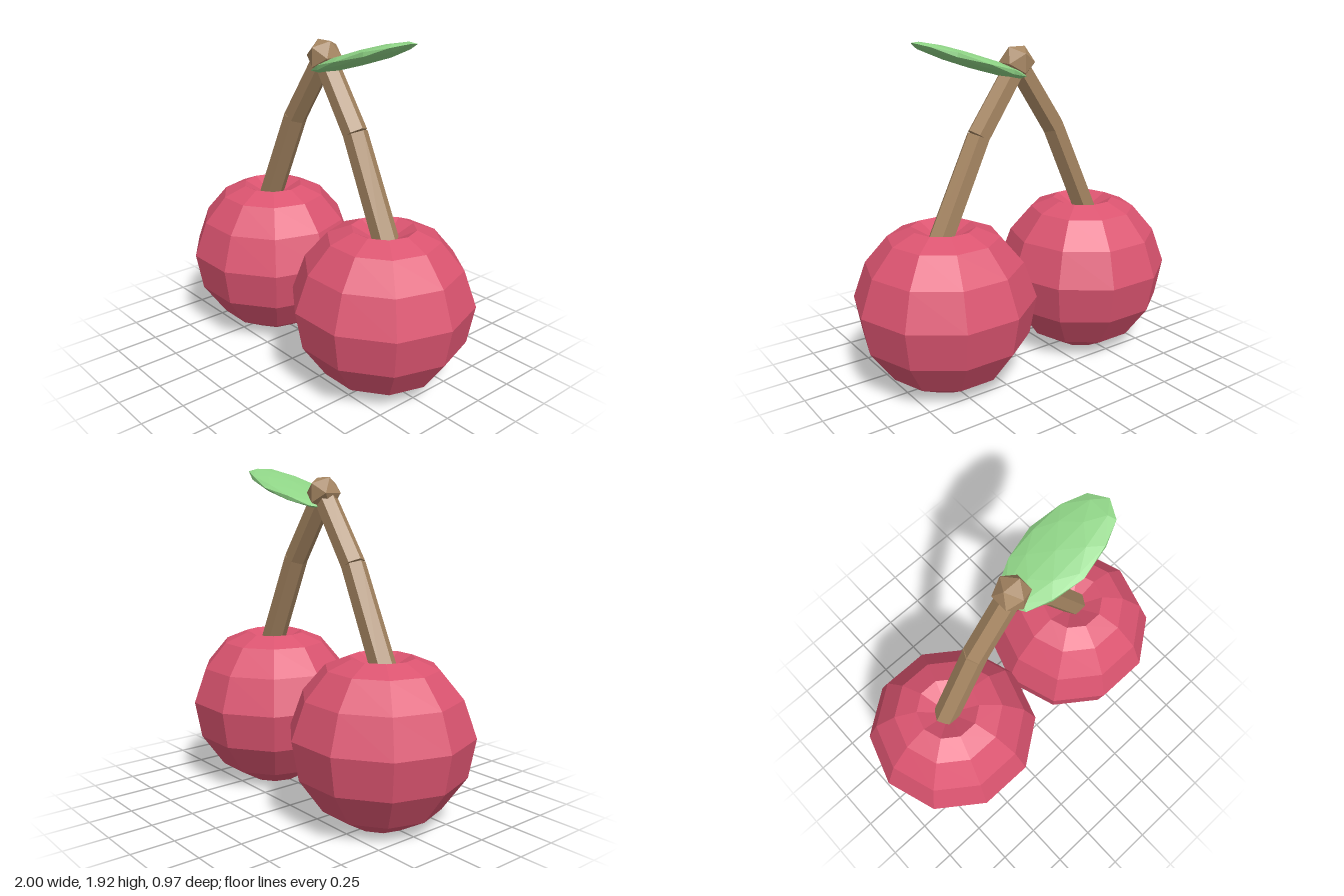
import * as THREE from 'three';

const mat = (name, color) => {
  const m = new THREE.MeshStandardMaterial({ color, flatShading: true });
  m.name = name;
  return m;
};

export function createModel() {
  const group = new THREE.Group();
  const red = mat('cherryRed', 0xdb5470);
  const brown = mat('stemBrown', 0xa68662);
  const green = mat('leafGreen', 0x8fd486);

  const add = (name, geometry, material) => {
    const mesh = new THREE.Mesh(geometry, material);
    mesh.name = name;
    group.add(mesh);
    return mesh;
  };

  // Ten-sided fruit profile, from the flat base up and into the top dimple
  const profile = [
    [0, 0], [0.158, 0], [0.335, 0.105], [0.47, 0.297], [0.51, 0.515],
    [0.437, 0.72], [0.31, 0.87], [0.178, 0.925], [0, 0.83],
  ].map(([r, y]) => new THREE.Vector2(r, y));
  const fruit = new THREE.LatheGeometry(profile, 10, Math.PI / 2);

  // Six-sided stem piece between two points, a ridge facing along x
  const stemPiece = (name, from, to, rFrom, rTo) => {
    const a = new THREE.Vector3(...from), b = new THREE.Vector3(...to);
    const dir = b.clone().sub(a);
    const geo = new THREE.CylinderGeometry(rTo, rFrom, dir.length(), 6);
    geo.rotateY(Math.PI / 6);
    const mesh = add(name, geo, brown);
    mesh.position.copy(a).add(b).multiplyScalar(0.5);
    mesh.rotation.z = -Math.atan2(dir.x, dir.y);
  };

  for (const [side, s] of [['left', 1], ['right', -1]]) {
    add(side + 'Cherry', fruit, red).position.x = s * 0.49;
    stemPiece(side + 'LowerStem', [s * 0.515, 0.84, 0], [s * 0.255, 1.395, 0], 0.073, 0.069);
    stemPiece(side + 'UpperStem', [s * 0.255, 1.395, 0], [s * 0.005, 1.76, 0], 0.069, 0.065);
  }

  // Knot joining the stems
  add('stemKnot', new THREE.IcosahedronGeometry(0.1, 0), brown).position.y = 1.775;

  // Flattened faceted leaf, tilted up towards its tip
  const leaf = add('leaf', new THREE.IcosahedronGeometry(1, 1).scale(0.363, 0.038, 0.19), green);
  leaf.position.set(0.297, 1.803, 0);
  leaf.rotation.z = 0.315;

  return group;
}
